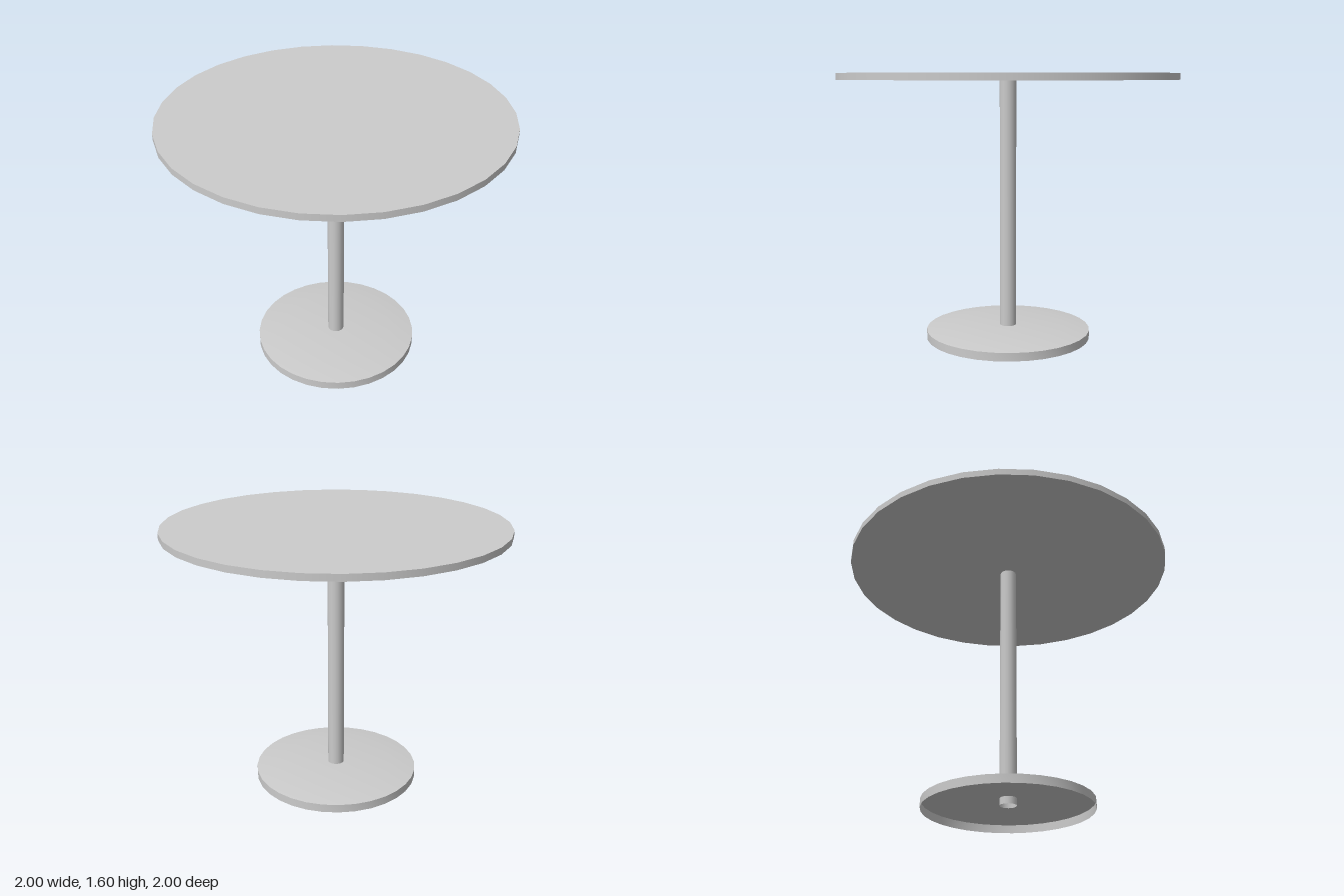
import * as THREE from 'three';
import { toCreasedNormals } from 'three/addons/utils/BufferGeometryUtils.js';

export function createModel() {
  const group = new THREE.Group();
  const solid = new THREE.MeshStandardMaterial({ color: 0xcccccc });
  const shell = new THREE.MeshStandardMaterial({ color: 0xcccccc, side: THREE.DoubleSide });

  const add = (name, geometry, material, y = 0) => {
    const mesh = new THREE.Mesh(geometry, material);
    mesh.name = name;
    mesh.position.y = y;
    group.add(mesh);
  };

  // Round closed top
  add('tableTop', new THREE.CylinderGeometry(1, 1, 0.038, 32), solid, 1.584);

  // Open tube that pokes a little below the base plate
  const stemBottom = 0.027, stemTop = 1.565;
  add('stem', new THREE.CylinderGeometry(0.05, 0.05, stemTop - stemBottom, 16, 1, true),
    shell, (stemBottom + stemTop) / 2);

  // Hollow base: upright rim, gentle slope, flat middle, open underneath
  const profile = [[0.5, 0], [0.5, 0.05], [0.35, 0.07], [0, 0.07]]
    .map(([r, y]) => new THREE.Vector2(r, y));
  add('base', toCreasedNormals(new THREE.LatheGeometry(profile, 32), Math.PI / 6), shell);

  return group;
}
